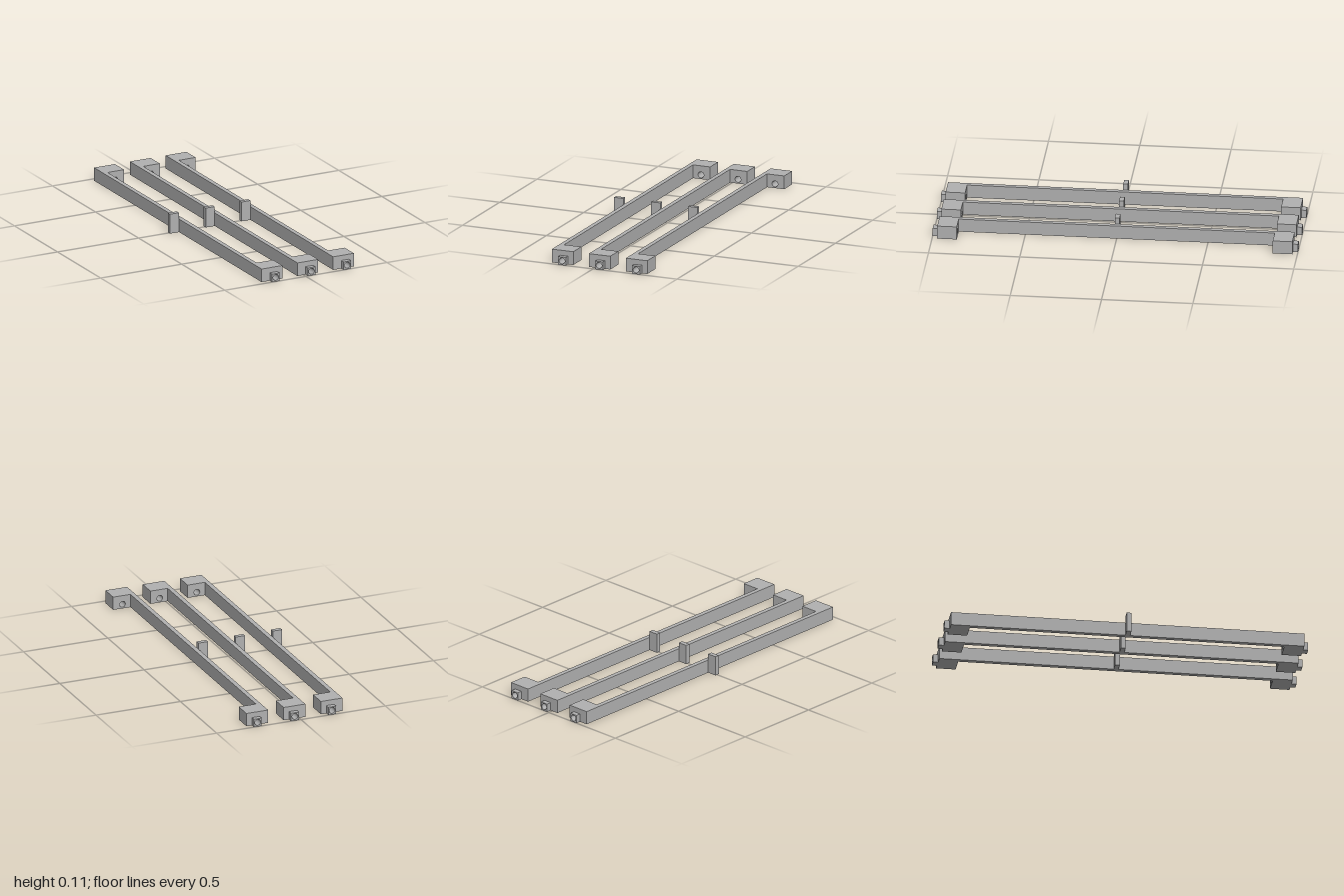
import * as THREE from 'three';

const grey = new THREE.MeshStandardMaterial({ color: 0xb0b0b0 });
grey.name = 'plain grey';

// Hole shared by the end blocks and their spigots, in rail coordinates
const HOLE = { x: 0.073, y: 0.024, r: 0.017 };

function box(name, x0, x1, y0, y1, z0, z1) {
  const mesh = new THREE.Mesh(new THREE.BoxGeometry(x1 - x0, y1 - y0, z1 - z0), grey);
  mesh.position.set((x0 + x1) / 2, (y0 + y1) / 2, (z0 + z1) / 2);
  mesh.name = name;
  return mesh;
}

// Rectangular block pierced along z by the round hole
function boredBox(name, x0, x1, y1, z0, z1) {
  const shape = new THREE.Shape();
  shape.moveTo(x0, 0).lineTo(x1, 0).lineTo(x1, y1).lineTo(x0, y1).closePath();
  const hole = new THREE.Path();
  hole.absarc(HOLE.x, HOLE.y, HOLE.r, 0, Math.PI * 2, true);
  shape.holes.push(hole);
  const geometry = new THREE.ExtrudeGeometry(shape, {
    depth: z1 - z0, bevelEnabled: false, curveSegments: 16,
  });
  const mesh = new THREE.Mesh(geometry, grey);
  mesh.position.z = z0;
  mesh.name = name;
  return mesh;
}

function createRail() {
  const rail = new THREE.Group();
  // Long thin bar between the end blocks
  rail.add(box('bar', 0, 0.026, 0, 0.075, -0.865, 0.865));
  // Upright tab on the outer side, halfway along
  rail.add(box('tab', -0.055, 0, 0, 0.111, -0.013, 0.013));
  // Bored block and spigot at both ends
  for (const [end, block, spigot] of [
    ['front', [0.865, 0.972], [0.972, 1]],
    ['back', [-0.972, -0.865], [-1, -0.972]],
  ]) {
    rail.add(boredBox(end + 'Block', 0, 0.128, 0.075, ...block));
    rail.add(boredBox(end + 'Spigot', 0.05, 0.096, 0.046, ...spigot));
  }
  return rail;
}

export function createModel() {
  const model = new THREE.Group();
  model.name = 'railSet';
  // Three identical rails side by side
  ['rightRail', 'middleRail', 'leftRail'].forEach((name, i) => {
    const rail = createRail();
    rail.name = name;
    rail.position.x = -0.258 + i * 0.2205;
    model.add(rail);
  });
  return model;
}
